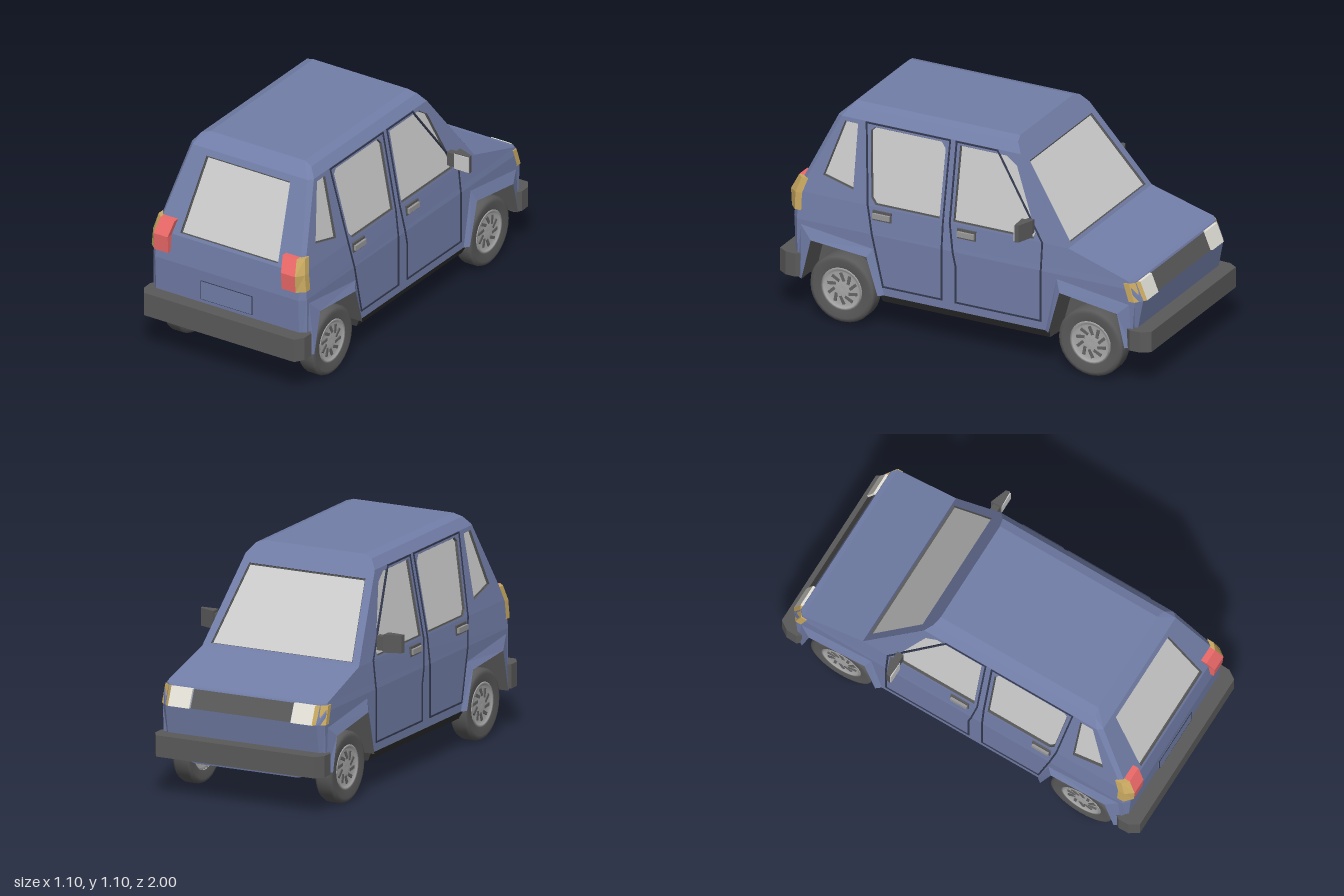
import * as THREE from 'three';
import { mergeGeometries } from 'three/addons/utils/BufferGeometryUtils.js';

const BLUE = 0x727ea8, SEAM = 0x343a50, DARK = 0x5a5a5a, FLOOR = 0x333333, GLASS = 0xcccccc;
const RED = 0xee6a6a, AMBER = 0xc8a860, LAMP = 0xe6e4da;

const V = (x, y, z) => new THREE.Vector3(x, y, z);
const CENTRE = V(0, 0.5, 0);
const shift = (pts, d) => pts.map(p => p.clone().add(d));
const flip = pts => pts.map(p => V(-p.x, p.y, p.z));

// Flat-shaded triangles, each turned to face away from the car's middle
function facets(tris) {
  const out = [];
  for (const [a, b, c] of tris) {
    const n = b.clone().sub(a).cross(c.clone().sub(a));
    if (n.lengthSq() < 1e-14) continue;
    const mid = a.clone().add(b).add(c).divideScalar(3).sub(CENTRE);
    for (const p of n.dot(mid) < 0 ? [a, c, b] : [a, b, c]) out.push(p);
  }
  const g = new THREE.BufferGeometry().setFromPoints(out);
  g.computeVertexNormals();
  return g;
}

// Planar polygon in space, with optional holes
function poly(pts, holes = []) {
  const n = V(0, 0, 0);
  pts.forEach((p, i) => n.add(p.clone().cross(pts[(i + 1) % pts.length])));
  const [ax, ay, az] = n.toArray().map(Math.abs);
  const to2 = p => ax >= ay && ax >= az ? new THREE.Vector2(p.z, p.y)
    : ay >= az ? new THREE.Vector2(p.x, p.z) : new THREE.Vector2(p.x, p.y);
  const all = [pts, ...holes].flat();
  const idx = THREE.ShapeUtils.triangulateShape(pts.map(to2), holes.map(h => h.map(to2)));
  return facets(idx.map(t => t.map(i => all[i])));
}

// Band of quads between two point rows
function strip(a, b, closed = false) {
  const tris = [], n = a.length;
  for (let i = 0; i < (closed ? n : n - 1); i++) {
    const j = (i + 1) % n;
    tris.push([a[i], b[i], b[j]], [a[i], b[j], a[j]]);
  }
  return facets(tris);
}

const box = (w, h, d, x, y, z) => new THREE.BoxGeometry(w, h, d).translate(x, y, z);

// Plan outline [x, z] extruded upwards from y0 to y1
function slab(plan, y0, y1) {
  const s = new THREE.Shape(plan.map(([x, z]) => new THREE.Vector2(x, -z)));
  return new THREE.ExtrudeGeometry(s, { depth: y1 - y0, bevelEnabled: false }).rotateX(-Math.PI / 2).translate(0, y0, 0);
}

// Thin square bars following a closed line
function bars(pts, t) {
  return pts.map((p, i) => {
    const d = pts[(i + 1) % pts.length].clone().sub(p), len = d.length();
    const q = new THREE.Quaternion().setFromUnitVectors(V(0, 0, 1), d.clone().normalize());
    const m = p.clone().addScaledVector(d, 0.5);
    return new THREE.BoxGeometry(t, t, len + t).applyQuaternion(q).translate(m.x, m.y, m.z);
  });
}

// Body surfaces: side, windscreen and tailgate planes
const sideX = y => y > 0.64 ? 0.425 - (y - 0.64) * 0.1875 : y > 0.5 ? 0.44 - (y - 0.5) * 0.107 : 0.44;
const onSide = pts => pts.map(([z, y]) => V(sideX(y), y, z));
const onScreen = pts => pts.map(([x, y]) => V(x, y, -0.55 + (y - 0.64) * 0.739));
const onTail = pts => pts.map(([x, y]) => V(x, y, 0.92 - (y - 0.64) * 0.4625));
const both = half => [...half, ...half.map(([x, y]) => [-x, y]).reverse()];

export function createModel() {
  const car = new THREE.Group();
  car.name = 'car';
  const mats = {};
  function add(name, color, geos, parent = car) {
    mats[color] ??= new THREE.MeshStandardMaterial({ color, side: THREE.DoubleSide });
    const clean = geos.map(g => {
      const f = g.index ? g.toNonIndexed() : g;
      f.deleteAttribute('uv');
      return f;
    });
    const mesh = new THREE.Mesh(mergeGeometries(clean), mats[color]);
    mesh.name = name;
    parent.add(mesh);
  }
  const mirrored = make => [make(p => p), make(flip)].flat();

  // Windows: outlines cut from the panels, glass set slightly inwards
  const screen = onScreen(both([[0.383, 0.655], [0.315, 1.0]]));
  const tailGlass = onTail(both([[0.28, 0.655], [0.24, 1.01]]));
  const sideGlass = [
    [[0.78, 0.74], [0.69, 1.02], [0.62, 1.02], [0.615, 0.7]],
    [[0.55, 1.0], [0.53, 1.02], [0.17, 1.02], [0.145, 0.99], [0.145, 0.65], [0.49, 0.65], [0.515, 0.68]],
    [[0.07, 0.65], [0.07, 1.02], [-0.18, 1.02], [-0.24, 0.98], [-0.37, 0.68], [-0.36, 0.65]],
  ].map(onSide);
  const windows = [['windscreen', screen, V(0, -0.006, 0.008)], ['rearWindow', tailGlass, V(0, -0.006, -0.012)]];
  sideGlass.forEach((w, i) => {
    const name = ['quarterWindow', 'rearDoorWindow', 'frontDoorWindow'][i];
    windows.push([name, w, V(-0.012, 0, 0)], [name, flip(w), V(0.012, 0, 0)]);
  });
  for (const [name, pts, d] of windows) {
    add(name, GLASS, [poly(shift(pts, d))]);
    add(name + 'Frame', DARK, [strip(pts, shift(pts, d), true), ...bars(shift(pts, d), 0.009)]);
  }

  // Sides, with the wheel arches left open
  const arches = [
    [[0.87, 0.2], [0.82, 0.41], [0.52, 0.385], [0.46, 0.195]],
    [[-0.46, 0.195], [-0.52, 0.415], [-0.83, 0.37], [-0.87, 0.2]],
  ];
  const flares = [
    [[0.9, 0.2], [0.885, 0.475], [0.495, 0.425], [0.435, 0.195]],
    [[-0.435, 0.195], [-0.495, 0.475], [-0.885, 0.42], [-0.9, 0.2]],
  ];
  const lower = onSide([[0.9, 0.2], ...arches[0], ...arches[1], [-0.9, 0.2], [-0.915, 0.44], [-0.9, 0.5], [0.905, 0.5]]);
  const waist = [V(0.44, 0.5, 0.905), V(0.425, 0.64, 0.9), V(0.425, 0.64, -0.55), V(0.435, 0.54, -0.88), V(0.44, 0.5, -0.9)];
  const upper = onSide([[0.9, 0.64], [0.71, 1.04], [-0.254, 1.04], [-0.55, 0.64]]);
  add('sidePanels', BLUE, mirrored(m => [poly(m(lower)), poly(m(waist)), poly(m(upper), sideGlass.map(m))]));
  const lip = arch => onSide(arch).map(p => V(0.46, p.y, p.z));
  add('wheelArchFlares', BLUE, mirrored(m => arches.map((a, i) => strip(m(lip(a)), m(onSide(flares[i]))))));
  const inner = arch => lip(arch).map(p => V(0.3, p.y, p.z));
  add('wheelWells', DARK, mirrored(m => arches.flatMap(a => [strip(m(lip(a)), m(inner(a))), poly(m(inner(a)))])));

  // Roof with chamfered edges
  const roofBack = [V(0.35, 1.04, 0.71), V(0.315, 1.085, 0.68), V(0.27, 1.1, 0.67)];
  const roofFront = onScreen([[0.35, 1.04], [0.315, 1.085], [0.27, 1.1]]);
  add('roof', BLUE, [
    ...mirrored(m => [strip(m(roofBack), m(roofFront))]),
    strip([roofBack[2], roofFront[2]], flip([roofBack[2], roofFront[2]])),
  ]);

  // Windscreen surround, bonnet and nose
  add('windscreenSurround', BLUE, [poly(onScreen(both([[0.425, 0.64], [0.35, 1.04], [0.315, 1.085], [0.27, 1.1]])), [screen])]);
  const noseEdge = [V(0.28, 0.155, -0.89), V(0.41, 0.2, -0.9), V(0.41, 0.44, -0.945), V(0.41, 0.535, -0.905)];
  const noseSide = [V(0.44, 0.2, -0.9), V(0.44, 0.44, -0.915), V(0.44, 0.5, -0.9), V(0.435, 0.54, -0.88)];
  const bonnet = [V(0.425, 0.64, -0.55), V(0.435, 0.54, -0.88), noseEdge[3]];
  add('bonnet', BLUE, [strip(bonnet, flip(bonnet))]);
  add('nose', BLUE, [
    strip(noseEdge, flip(noseEdge)),
    ...mirrored(m => [strip(m([noseEdge[1], noseEdge[2], noseEdge[2], noseEdge[3]]), m(noseSide))]),
  ]);

  // Tailgate and rear corners
  const tailEdge = [V(0.28, 0.155, 0.92), V(0.41, 0.2, 0.92), V(0.41, 0.5, 0.935), V(0.41, 0.64, 0.92)];
  const tailTop = [V(0.33, 1.04, 0.735), V(0.27, 1.1, 0.67)];
  const tailSide = [V(0.44, 0.2, 0.9), V(0.44, 0.5, 0.905), V(0.425, 0.64, 0.9), roofBack[0], roofBack[1]];
  add('tailgate', BLUE, [
    strip(tailEdge, flip(tailEdge)),
    strip(tailTop, flip(tailTop)),
    poly(onTail(both([[0.41, 0.64], [0.33, 1.04]])), [tailGlass]),
    ...mirrored(m => [strip(m([...tailEdge.slice(1), ...tailTop]), m(tailSide))]),
  ]);
  add('plateHolder', BLUE, [box(0.29, 0.095, 0.02, 0, 0.3975, 0.928)]);
  add('plateHolderEdge', SEAM, bars([V(-0.145, 0.35, 0.936), V(0.145, 0.35, 0.936), V(0.145, 0.445, 0.936), V(-0.145, 0.445, 0.936)], 0.004));

  // Floor and sills
  const floorHalf = [[0.28, 0.92], [0.3, 0.86], [0.3, 0.46], [0.42, 0.45], [0.42, -0.45], [0.3, -0.46], [0.3, -0.86], [0.28, -0.89]];
  add('floor', FLOOR, [poly(both(floorHalf.map(([x, z]) => [x, z])).map(([x, z]) => V(x, 0.155, z)))]);
  add('sills', FLOOR, mirrored(m => [
    strip(m([V(0.44, 0.195, 0.46), V(0.44, 0.195, -0.46)]), m([V(0.42, 0.155, 0.45), V(0.42, 0.155, -0.45)])),
  ]));

  // Door seams and handles
  const doors = [
    [[0.575, 1.035], [0.125, 1.035], [0.125, 0.64], [0.125, 0.5], [0.125, 0.24], [0.44, 0.24], [0.5, 0.5], [0.53, 0.64]],
    [[0.09, 1.035], [-0.13, 1.035], [-0.41, 0.64], [-0.41, 0.5], [-0.41, 0.24], [0.05, 0.24], [0.05, 0.43], [0.065, 0.5], [0.088, 0.64]],
  ].map(onSide);
  add('doorSeams', SEAM, mirrored(m => doors.flatMap(d => bars(m(d), 0.008))));
  for (const s of [1, -1]) for (const z of [0.45, -0.005]) {
    add('handleRecess', DARK, [box(0.012, 0.05, 0.1, s * 0.43, 0.6, z)]);
    add('doorHandle', 0x999999, [box(0.02, 0.026, 0.09, s * 0.438, 0.6, z)]);
  }

  // Bumpers wrapping round the corners
  const bumper = [[0.44, 0.87], [0.462, 0.9], [0.46, 0.955], [0.43, 1.0]];
  add('rearBumper', DARK, [slab(both(bumper), 0.205, 0.325)]);
  add('frontBumper', DARK, [slab(both(bumper).map(([x, z]) => [x, -z]).reverse(), 0.195, 0.3)]);

  // Lamps: bent lens faces with edges running back into the body
  const lens = (rows, back) => {
    const [a, b] = rows, ring = [...a, ...[...b].reverse()];
    return m => [strip(m(a), m(b)), strip(m(ring), m(shift(ring, V(0, 0, back))), true)];
  };
  const tailA = [V(0.325, 0.548, 0.95), V(0.325, 0.635, 0.955), V(0.31, 0.71, 0.918)];
  const tailB = [V(0.405, 0.548, 0.95), V(0.405, 0.635, 0.955), V(0.39, 0.71, 0.918)];
  const tailC = [V(0.443, 0.548, 0.915), V(0.435, 0.635, 0.915), V(0.42, 0.71, 0.89)];
  add('tailLamps', RED, mirrored(lens([tailA, tailB], -0.04)));
  add('rearIndicators', AMBER, mirrored(lens([tailB, tailC], -0.035)));
  const headA = [V(0.275, 0.44, -0.957), V(0.275, 0.53, -0.92)];
  const headB = [V(0.39, 0.44, -0.957), V(0.39, 0.53, -0.92)];
  const headC = [V(0.445, 0.44, -0.915), V(0.442, 0.53, -0.885)];
  add('headlamps', LAMP, mirrored(lens([headA, headB], 0.03)));
  add('frontIndicators', AMBER, mirrored(lens([headB, headC], 0.03)));
  const grille = [V(0.27, 0.44, -0.949), V(0.27, 0.528, -0.912)];
  add('grille', DARK, [strip(grille, flip(grille))]);

  // Door mirrors
  const pod = [[0.46, -0.375], [0.545, -0.345], [0.55, -0.325], [0.462, -0.32]];
  for (const s of [1, -1]) {
    const plan = pod.map(([x, z]) => [s * x, z]);
    add('doorMirror', DARK, [slab(s > 0 ? plan : plan.reverse(), 0.675, 0.763), box(0.05, 0.07, 0.035, s * 0.442, 0.715, -0.345)]);
    add('mirrorGlass', GLASS, [box(0.082, 0.08, 0.006, s * 0.505, 0.719, -0.321)]);
  }

  // Wheels: lathed tyre, dished rim and skewed slots
  const P = (r, x) => new THREE.Vector2(r, x);
  const tyre = [P(0.108, -0.04), P(0.15, -0.048), P(0.168, -0.042), P(0.175, -0.028), P(0.175, 0.028), P(0.168, 0.042), P(0.15, 0.048), P(0.108, 0.04)];
  const rim = [P(0, 0.034), P(0.03, 0.036), P(0.085, 0.03), P(0.098, 0.042), P(0.11, 0.042), P(0.11, -0.042), P(0.1, -0.03), P(0, -0.025)];
  for (const s of [1, -1]) for (const z of [0.67, -0.67]) {
    const wheel = new THREE.Group();
    wheel.name = z > 0 ? 'rearWheel' : 'frontWheel';
    add('tyre', DARK, [new THREE.LatheGeometry(tyre, 28).rotateZ(-Math.PI / 2)], wheel);
    add('rim', 0xaaaaaa, [new THREE.LatheGeometry(rim, 28).rotateZ(-Math.PI / 2)], wheel);
    const slots = [];
    for (let i = 0; i < 10; i++) {
      slots.push(new THREE.BoxGeometry(0.006, 0.045, 0.015).rotateX(0.45).translate(0.034, 0.06, 0).rotateX(i * Math.PI / 5));
    }
    add('rimSlots', 0x666666, slots, wheel);
    wheel.position.set(s * 0.387, 0.175, z);
    if (s < 0) wheel.rotation.y = Math.PI;
    car.add(wheel);
  }
  return car;
}
